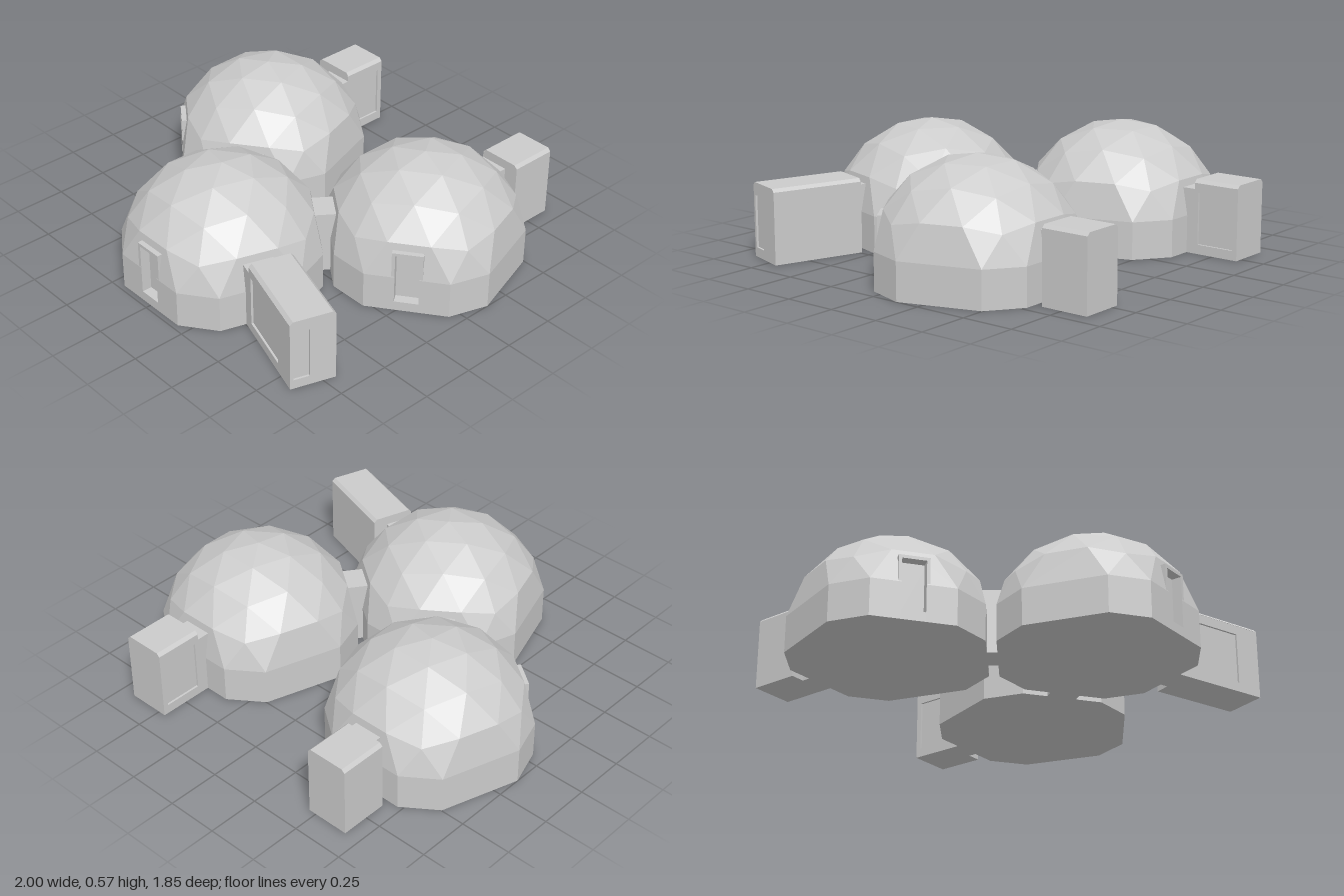
import * as THREE from 'three';

const material = new THREE.MeshStandardMaterial({ color: 0xcccccc, flatShading: true });
const R = 0.476, CENTRE = new THREE.Vector3(0, 0.094, 0);
const FLAT = 0.428; // distance from dome axis to its flat walls
const UP = new THREE.Vector3(0, 1, 0), STEP = Math.PI * 0.4;
const DOOR = { half: 0.055, sill: 0.045, head: 0.29 };
const V = (x, y, z) => new THREE.Vector3(x, y, z);

function add(parent, geometry, name) {
  const mesh = new THREE.Mesh(geometry, material);
  mesh.name = name;
  parent.add(mesh);
  return mesh;
}

function box(parent, name, x0, x1, y0, y1, z0, z1) {
  const mesh = add(parent, new THREE.BoxGeometry(x1 - x0, y1 - y0, z1 - z0), name);
  mesh.position.set((x0 + x1) / 2, (y0 + y1) / 2, (z0 + z1) / 2);
  return mesh;
}

const polygon = pts => new THREE.Shape(pts.map(p => new THREE.Vector2(...p)));
const rect = (x0, x1, y0, y1) => [[x0, y0], [x1, y0], [x1, y1], [x0, y1]];
function extrude(pts, depth, hole) {
  const shape = polygon(pts);
  if (hole) shape.holes.push(polygon(hole));
  return new THREE.ExtrudeGeometry(shape, { depth, bevelEnabled: false });
}

// Geodesic dome: five equal sectors, each centred on a flat wall; listed sectors get a door opening
function domeGeometry(doorSectors) {
  const out = [];
  const h = 1 / Math.sqrt(5), r = 2 * h;
  const ico = (az, y) => V(r * Math.sin(az), y, r * Math.cos(az));
  const mix = (a, b, c, i, j, k) => V(0, 0, 0).addScaledVector(a, i).addScaledVector(b, j)
    .addScaledVector(c, k).normalize().multiplyScalar(R).add(CENTRE);

  const top = V(0, 1, 0), uL = ico(-STEP / 2, h), uR = ico(STEP / 2, h), low = ico(0, -h);
  const qL = mix(uL, low, top, 2, 1, 0), qR = mix(uR, low, top, 2, 1, 0);
  const eL = mix(uL, uR, top, 2, 1, 0), eR = mix(uL, uR, top, 1, 2, 0);
  const cL = mix(uL, uR, top, 1, 0, 0), cR = mix(uL, uR, top, 0, 1, 0);
  const qNext = qL.clone().applyAxisAngle(UP, STEP);
  const ground = p => V(p.x, 0, p.z);

  for (let k = 0; k < 5; k++) {
    const tri = (...pts) => {
      const [a, b, c] = pts.map(p => p.clone().applyAxisAngle(UP, k * STEP));
      const n = b.clone().sub(a).cross(c.clone().sub(a));
      const outward = a.clone().add(b).add(c).divideScalar(3).sub(CENTRE);
      for (const p of n.dot(outward) > 0 ? [a, b, c] : [a, c, b]) out.push(p.x, p.y, p.z);
    };
    const quad = (a, b, c, d) => { tri(a, b, c); tri(a, c, d); };

    // cap triangle split three times along each side
    const node = (i, j) => mix(top, uL, uR, 3 - i, i - j, j);
    for (let i = 0; i < 3; i++) for (let j = 0; j <= i; j++) {
      tri(node(i, j), node(i + 1, j), node(i + 1, j + 1));
      if (j < i) tri(node(i, j), node(i + 1, j + 1), node(i, j + 1));
    }
    // lower band, narrow wall and floor
    tri(cL, qL, eL);
    tri(cR, eR, qR);
    tri(cR, qR, qNext);
    quad(ground(qR), ground(qNext), qNext, qR);
    tri(V(0, 0, 0), ground(qL), ground(qR));
    tri(V(0, 0, 0), ground(qR), ground(qNext));

    if (!doorSectors.includes(k)) {
      quad(qL, qR, eR, eL);
      quad(ground(qL), ground(qR), qR, qL);
      continue;
    }
    // wall and sloping panel around a door opening
    const { half, sill, head } = DOOR;
    const z = y => y <= qL.y ? qL.z : THREE.MathUtils.mapLinear(y, qL.y, eL.y, qL.z, eL.z);
    const at = (x, y) => V(x, y, z(y));
    for (const [s, q, e] of [[-1, qL, eL], [1, qR, eR]]) {
      quad(ground(q), at(s * half, 0), at(s * half, q.y), q);
      quad(q, at(s * half, q.y), at(s * half, head), e);
    }
    quad(at(-half, 0), at(half, 0), at(half, sill), at(-half, sill));
    quad(at(-half, head), at(half, head), eR, eL);
  }
  const g = new THREE.BufferGeometry();
  g.setAttribute('position', new THREE.Float32BufferAttribute(out, 3));
  g.computeVertexNormals();
  return g;
}

function sideGroup(dome, sector, name) {
  const g = new THREE.Group();
  g.name = name;
  g.rotation.y = sector * STEP;
  dome.add(g);
  return g;
}

// Recessed door with an upright hooded frame
function addDoor(dome, sector) {
  const g = sideGroup(dome, sector, 'entrance');
  const { half, sill, head } = DOOR;
  const frame = extrude(rect(-0.07, 0.07, 0.005, 0.305), FLAT - 0.376, rect(-half, half, sill, head));
  add(g, frame, 'doorFrame').position.z = 0.375;
  box(g, 'door', -0.068, 0.068, 0.01, 0.3, 0.365, 0.38);
}

// Passage and chamfered box room; s mirrors the room sideways
function addAnnex(dome, sector, s, end, endPanel) {
  const g = sideGroup(dome, sector, 'annex');
  const z0 = 0.466, t = 0.01, wall = 0.335, roof = 0.35;
  box(g, 'passage', -0.07, 0.07, 0, 0.305, 0.38, z0 + 0.01);
  const section = inset => [[-0.07 + inset, 0], [0.14, 0], [0.14, wall], [0.125, roof],
    [-0.055, roof], [-0.07, wall], [-0.07 + inset, wall - 0.001]].map(([x, y]) => [x * s, y]);
  add(g, extrude(section(t), end - z0 - t), 'annexBody').position.z = z0;

  // side wall with a recessed panel
  const side = extrude(rect(z0, end - t, 0, wall - 0.001), t, rect(z0 + 0.02, end - (endPanel ? 0.125 : 0.025), 0.045, 0.29));
  side.rotateY(-Math.PI / 2);
  add(g, side, 'annexSideWall').position.x = s > 0 ? -0.06 : 0.07;

  // end wall, with a recessed panel where wanted
  const hole = endPanel && rect(-0.055, 0.02, 0.045, 0.29).map(([x, y]) => [x * s, y]);
  add(g, extrude(section(0), t, hole), 'annexEndWall').position.z = end - t;
}

function addDome(root, name, x, z, turn, doorSectors) {
  const g = new THREE.Group();
  g.name = name;
  g.position.set(x, 0, z);
  g.rotation.y = turn;
  add(g, domeGeometry(doorSectors), 'domeShell');
  doorSectors.forEach(k => addDoor(g, k));
  root.add(g);
  return g;
}

export function createModel() {
  const root = new THREE.Group();
  root.name = 'domeHabitat';

  const front = addDome(root, 'frontDome', 0, 0.546, 0, [0]);
  addAnnex(front, 1, 1, 0.906, true);
  // corridors joining the domes
  for (const k of [2, 3]) {
    const corridor = sideGroup(front, k, 'corridor');
    box(corridor, 'corridorBody', -0.07, 0.07, 0, 0.305, 0.38, 0.52);
  }

  for (const s of [-1, 1]) {
    const back = addDome(root, s > 0 ? 'backLeftDome' : 'backRightDome', s * 0.533, -0.182, Math.PI, [s > 0 ? 3 : 2]);
    addAnnex(back, 0, -s, 0.697, false);
  }
  return root;
}
